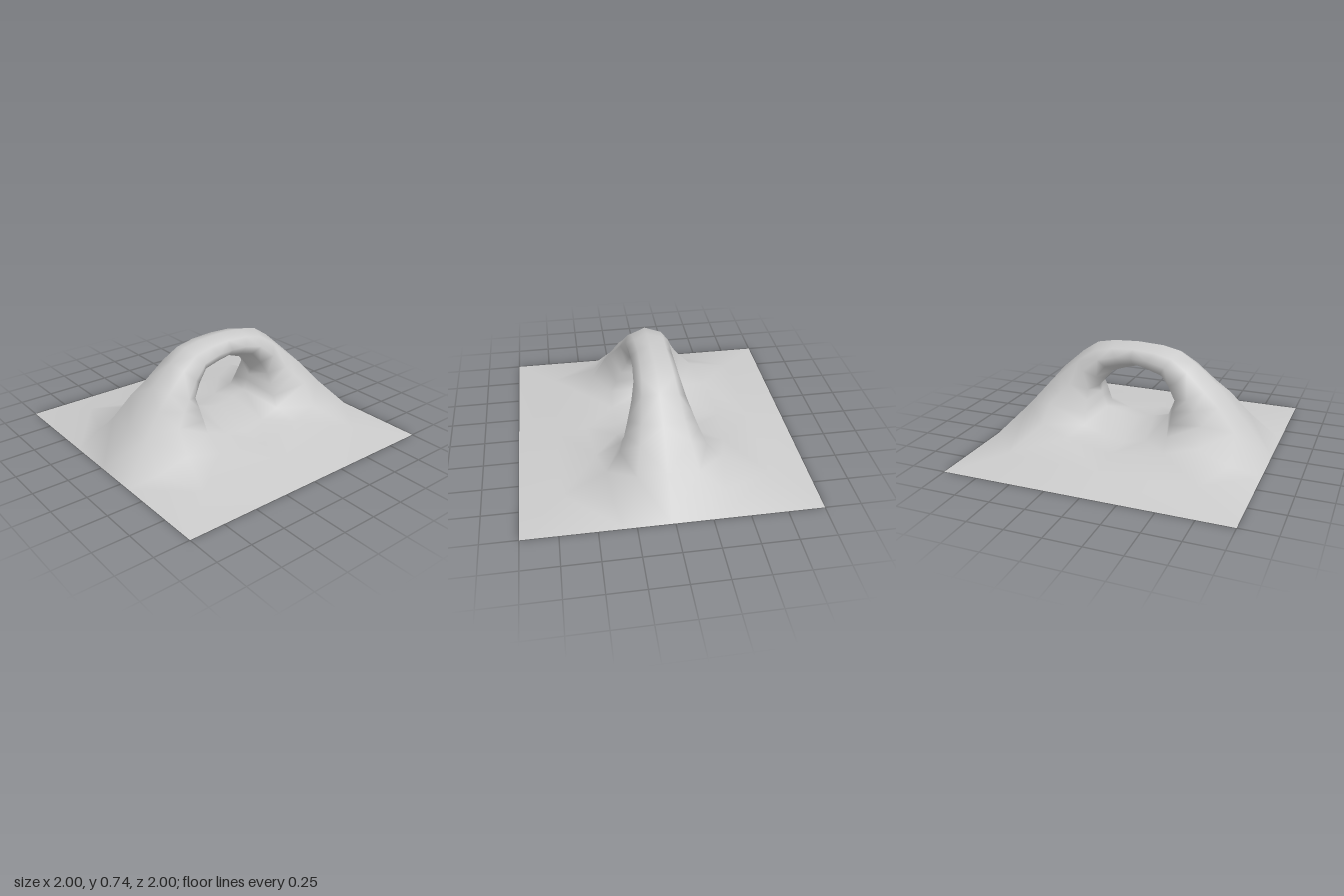
import * as THREE from 'three';
import { mergeVertices } from 'three/addons/utils/BufferGeometryUtils.js';

// Each column runs from the throat of the opening (z = 0) across the front slope
// to the arch crest or the ground edge. Columns go from top centre round to bottom centre.
const COLUMNS = [
  [[0, .56, 0], [0, .60, .12], [0, .65, .16], [0, .705, .11], [0, .735, .02]],
  [[.09, .535, 0], [.10, .585, .125], [.12, .645, .163], [.16, .695, .115], [.18, .725, .02]],
  [[.19, .50, 0], [.21, .555, .125], [.25, .615, .172], [.29, .665, .12], [.31, .70, .02]],
  [[.245, .435, 0], [.275, .475, .14], [.35, .53, .2], [.405, .59, .135], [.43, .62, .02]],
  [[.30, .37, 0], [.33, .38, .16], [.44, .43, .24], [.54, .47, .155], [.59, .48, .02]],
  [[.285, .33, 0], [.325, .31, .2], [.5, .365, .268], [.65, .38, .18], [.79, .25, .02]],
  [[.27, .29, 0], [.32, .23, .24], [.57, .285, .308], [.78, .23, .22], [1, 0, .02]],
  [[.24, .215, 0], [.315, .15, .28], [.58, .125, .405], [.8, .05, .38], [1, 0, .33]],
  [[.13, .19, 0], [.165, .105, .29], [.36, .09, .46], [.68, .045, .71], [1, 0, 1]],
  [[0, .16, 0], [0, .065, .28], [0, .06, .5], [0, .035, .72], [0, 0, 1]],
];
const CREST_COLUMNS = 7; // these end on the crest, shared by both slopes

// Back slope: slightly steeper, with higher ground at the foot
function toBack([x, y, z], column, row) {
  if (row === 0 || (row === 4 && column < CREST_COLUMNS)) return [x, y, z];
  const lift = y < .13 && row > 1 ? 1.35 : 1;
  return [x, y * lift, -z * Math.min(1, .78 + .45 * z)];
}

// Full ring of columns: the +x half, then its mirror image
function makeRing(back) {
  const half = COLUMNS.map((col, i) => col.map((p, j) => (back ? toBack(p, i, j) : p)));
  const mirrored = half.slice(1, -1).reverse().map(col => col.map(([x, y, z]) => [-x, y, z]));
  return [...half, ...mirrored];
}

const distance = (a, b) => Math.hypot(a[0] - b[0], a[1] - b[1], a[2] - b[2]);

// Skin a ring of columns, splitting each quad along its shorter diagonal
function skin(ring, back, out) {
  for (let i = 0; i < ring.length; i++) {
    const p = ring[i], q = ring[(i + 1) % ring.length];
    for (let j = 0; j < p.length - 1; j++) {
      const a = p[j], b = p[j + 1], c = q[j + 1], d = q[j];
      const faces = distance(a, c) < distance(b, d) ? [a, c, b, a, d, c] : [a, d, b, b, d, c];
      if (back) faces.reverse();
      faces.forEach(v => out.push(...v));
    }
  }
}

export function createModel() {
  const positions = [];
  skin(makeRing(false), false, positions);
  skin(makeRing(true), true, positions);

  // Weld both slopes along the crest and throat for smooth shading
  let geometry = new THREE.BufferGeometry();
  geometry.setAttribute('position', new THREE.Float32BufferAttribute(positions, 3));
  geometry = mergeVertices(geometry, 1e-4);
  geometry.computeVertexNormals();

  const arch = new THREE.Mesh(
    geometry,
    new THREE.MeshStandardMaterial({ color: 0xcccccc, side: THREE.DoubleSide })
  );
  arch.name = 'archTerrain';

  const group = new THREE.Group();
  group.name = 'naturalArch';
  group.add(arch);
  return group;
}
